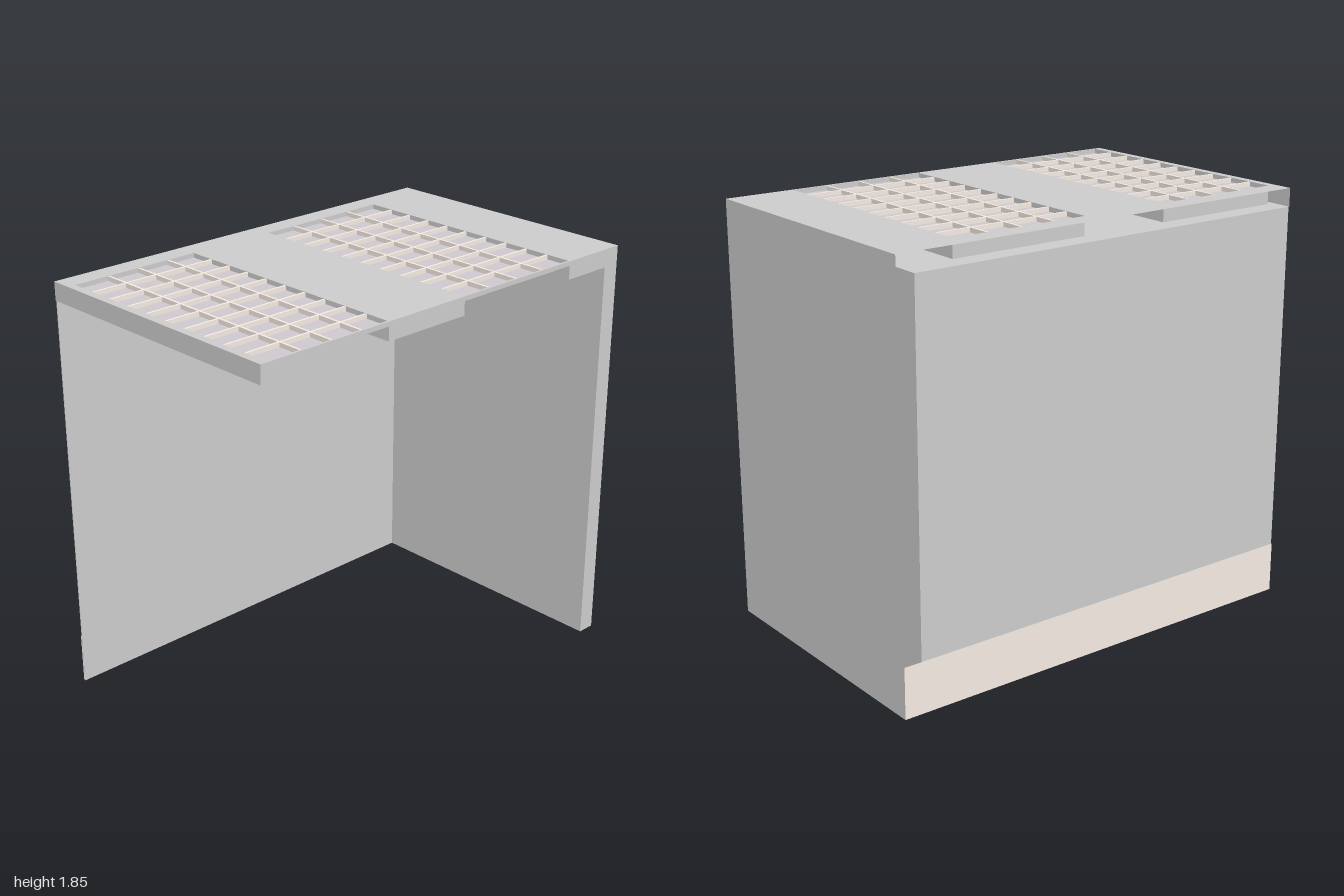
import * as THREE from 'three';

const mat = (color) => new THREE.MeshStandardMaterial({ color, side: THREE.DoubleSide });
const grey = mat(0xcccccc), pale = mat(0xf4eae2), lilac = mat(0xccc8ce);

// Main levels of the hollow shell, open along its back
const L = -1, R = 1, IN = 0.92, Z = 0.623, H = 1.85, UNDER = 1.77, PANE = 1.83;
const BACK = -0.53, FRONT = 0.613;
const skylights = [
  { x0: -0.965, x1: -0.365, bars: [-0.8, -0.65, -0.5] },
  { x0: 0.05, x1: 0.685, bars: [0.2, 0.36, 0.52] },
];

export function createModel() {
  const group = new THREE.Group();

  const add = (name, geometry, material = grey, parent = group) => {
    const mesh = new THREE.Mesh(geometry, material);
    mesh.name = name;
    parent.add(mesh);
    return mesh;
  };
  const shapeOf = (pts) => new THREE.Shape(pts.map(([a, b]) => new THREE.Vector2(a, b)));
  const rect = (a0, b0, a1, b1) => [[a0, b0], [a1, b0], [a1, b1], [a0, b1]];

  // Flat sheets: level takes (x, z), across takes (x, y), along takes (z, y)
  const level = (name, pts, y, m, parent, holes = []) => {
    const s = shapeOf(pts);
    s.holes = holes.map(shapeOf);
    // mirrored z keeps the front of the sheet facing up
    const g = new THREE.ShapeGeometry(s).rotateX(-Math.PI / 2);
    return add(name, g.translate(0, y, 0), m, parent);
  };
  const across = (name, pts, z, m, parent) =>
    add(name, new THREE.ShapeGeometry(shapeOf(pts)).translate(0, 0, z), m, parent);
  const along = (name, z0, y0, z1, y1, x, m, parent) =>
    add(name, new THREE.PlaneGeometry(z1 - z0, y1 - y0).rotateY(Math.PI / 2)
      .translate(x, (y0 + y1) / 2, (z0 + z1) / 2), m, parent);

  // Roof: upper sheet with skylight openings
  level('roofTop', rect(L, -Z, R, Z), H, grey, group,
    skylights.map((s) => rect(s.x0, -FRONT, s.x1, -BACK)));

  // Roof underside, notched through to the front under each skylight
  const under = [[L, Z], [L, -Z]];
  for (const s of skylights) {
    under.push([s.x0, -Z], [s.x0, -BACK], [s.x1, -BACK], [s.x1, -Z]);
  }
  under.push([IN, -Z], [IN, Z]);
  level('roofUnderside', under, UNDER, grey);
  along('roofEnd', -Z, UNDER, Z, H, L);

  // Front edge of roof and side wall in one outline with the notches
  const edge = [[L, H], [L, UNDER]];
  for (const s of skylights) {
    edge.push([s.x0, UNDER], [s.x0, PANE], [s.x1, PANE], [s.x1, UNDER]);
  }
  edge.push([IN, UNDER], [IN, 0], [R, 0], [R, H]);
  across('frontEdge', edge, Z);

  // Hollow side wall
  along('sideWallOuter', -Z, 0, Z, H, R);
  along('sideWallInner', -Z, 0, Z, UNDER, IN);
  level('sideWallBase', rect(IN, -Z, R, Z), 0);

  // Thin back wall and the pale strip along its foot
  add('backWall', new THREE.BoxGeometry(IN - L, UNDER, 0.004)
    .translate((L + IN) / 2, UNDER / 2, -Z + 0.006));
  across('backFootStrip', rect(L, 0, R, 0.225), -Z, pale);

  // Skylights: reveals, pane and glazing bars
  for (const s of skylights) {
    const sky = new THREE.Group();
    sky.name = 'skylight';
    group.add(sky);
    const mid = (s.x0 + s.x1) / 2, width = s.x1 - s.x0, depth = FRONT - BACK;
    for (const x of [s.x0, s.x1]) along('sideReveal', BACK, UNDER, Z, H, x, grey, sky);
    across('backReveal', rect(s.x0, UNDER, s.x1, H), BACK, grey, sky);
    across('frontLip', rect(s.x0, PANE, s.x1, H), FRONT, grey, sky);
    level('pane', rect(s.x0, -Z, s.x1, -BACK), PANE, lilac, sky);
    const bar = 0.01, rise = H - PANE - 0.001, y = PANE + rise / 2;
    for (const x of s.bars) {
      add('longBar', new THREE.BoxGeometry(bar, rise, depth)
        .translate(x, y, (BACK + FRONT) / 2), pale, sky);
    }
    for (let i = 1; i <= 9; i++) {
      add('crossBar', new THREE.BoxGeometry(width, rise, bar)
        .translate(mid, y, BACK + (depth * i) / 10), pale, sky);
    }
  }
  return group;
}
